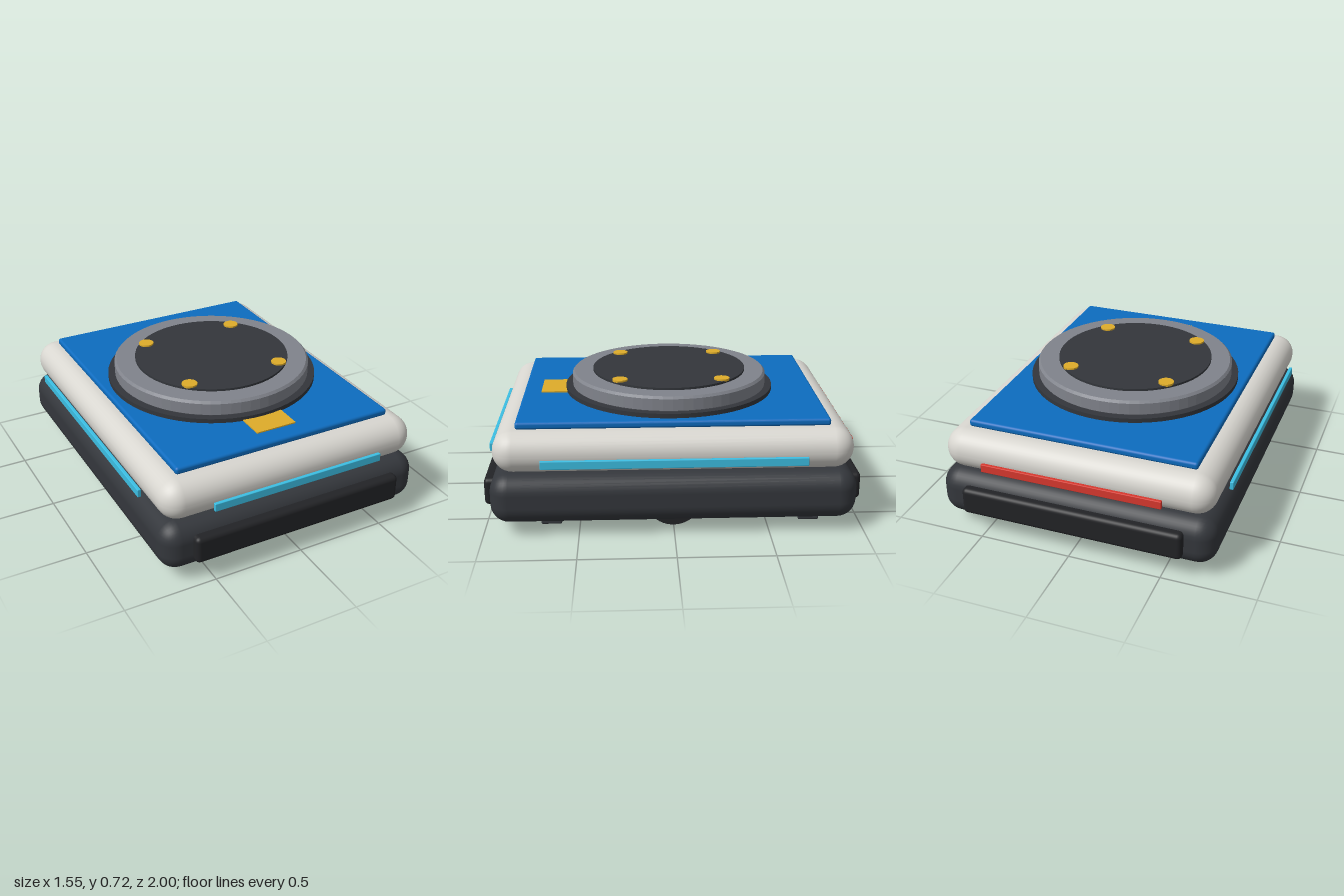
import * as THREE from 'three';
import { RoundedBoxGeometry } from 'three/addons/geometries/RoundedBoxGeometry.js';

const mat = (color) => new THREE.MeshStandardMaterial({ color });
const M = {
  chassis: mat(0x34373c), black: mat(0x222326), shell: mat(0xd8d6d0), blue: mat(0x0d6cbf),
  gray: mat(0x80838b), plate: mat(0x33363b), gold: mat(0xdeac2a), cyan: mat(0x3cbfe4),
  red: mat(0xd8382e), metal: mat(0x55585e),
};

export function createModel() {
  const group = new THREE.Group();

  const add = (name, geometry, material, x, y, z, parent = group) => {
    const mesh = new THREE.Mesh(geometry, material);
    mesh.name = name;
    mesh.position.set(x, y, z);
    parent.add(mesh);
    return mesh;
  };
  const rounded = (w, h, d, r, seg = 3) => new RoundedBoxGeometry(w, h, d, seg, r);
  const disc = (r, h, seg = 64) => new THREE.CylinderGeometry(r, r, h, seg);
  const roller = (r, w, seg = 32) => disc(r, w, seg).rotateZ(Math.PI / 2);

  // Stacked body: dark chassis, light shell, blue deck
  add('chassis', rounded(1.52, 0.27, 1.92, 0.1, 4), M.chassis, 0, 0.2, 0);
  add('upperShell', rounded(1.48, 0.22, 1.88, 0.108, 4), M.shell, 0, 0.445, 0);
  add('deck', rounded(1.25, 0.04, 1.64, 0.015), M.blue, 0, 0.572, 0);

  // Turntable: base, bevelled ring, top plate and locating pins
  add('turntableBase', disc(0.585, 0.03), M.plate, 0, 0.601, 0);
  const profile = [[0, 0.61], [0.538, 0.61], [0.547, 0.62], [0.547, 0.683], [0.535, 0.696], [0, 0.696]]
    .map(([r, y]) => new THREE.Vector2(r, y));
  const ring = new THREE.LatheGeometry(profile, 64).toNonIndexed();
  ring.computeVertexNormals();
  add('turntableRing', ring, M.gray, 0, 0, 0);
  add('turntablePlate', disc(0.43, 0.016), M.plate, 0, 0.7, 0);
  for (const x of [-1, 1]) for (const z of [-1, 1])
    add('locatingPin', disc(0.042, 0.012, 24), M.gold, x * 0.277, 0.711, z * 0.277);

  // Marker on the deck pointing to the front
  add('frontMarker', new THREE.BoxGeometry(0.23, 0.01, 0.24), M.gold, 0, 0.594, 0.6);

  // Bumpers and light strips
  for (const s of [-1, 1]) {
    add(s > 0 ? 'frontBumper' : 'rearBumper', rounded(1.21, 0.15, 0.08, 0.025), M.black, 0, 0.2, s * 0.96);
    add(s > 0 ? 'frontLight' : 'rearLight', rounded(0.98, 0.045, 0.02, 0.004, 2),
      s > 0 ? M.cyan : M.red, 0, 0.412, s * 0.962);
    add(s > 0 ? 'leftLight' : 'rightLight', rounded(0.02, 0.045, 1.37, 0.004, 2), M.cyan, s * 0.764, 0.412, 0);
  }

  // Drive wheels, mostly hidden inside the chassis
  for (const s of [-1, 1])
    add(s > 0 ? 'leftDriveWheel' : 'rightDriveWheel', roller(0.15, 0.11, 48), M.black, s * 0.56, 0.15, 0);

  // Casters: mounting plate, two fork arms, axle and wheel
  for (const x of [-0.53, 0.53]) for (const z of [-0.725, 0.65]) {
    const caster = new THREE.Group();
    caster.name = 'caster';
    caster.position.set(x, 0, z);
    group.add(caster);
    add('casterPlate', new THREE.BoxGeometry(0.17, 0.02, 0.11), M.chassis, 0, 0.066, 0, caster);
    for (const s of [-1, 1])
      add('casterFork', rounded(0.032, 0.06, 0.11, 0.008, 2), M.chassis, s * 0.07, 0.045, 0, caster);
    add('casterAxle', roller(0.018, 0.178, 16), M.metal, 0, 0.052, 0, caster);
    add('casterWheel', roller(0.048, 0.06, 24), M.black, 0, 0.053, 0, caster);
  }

  return group;
}
